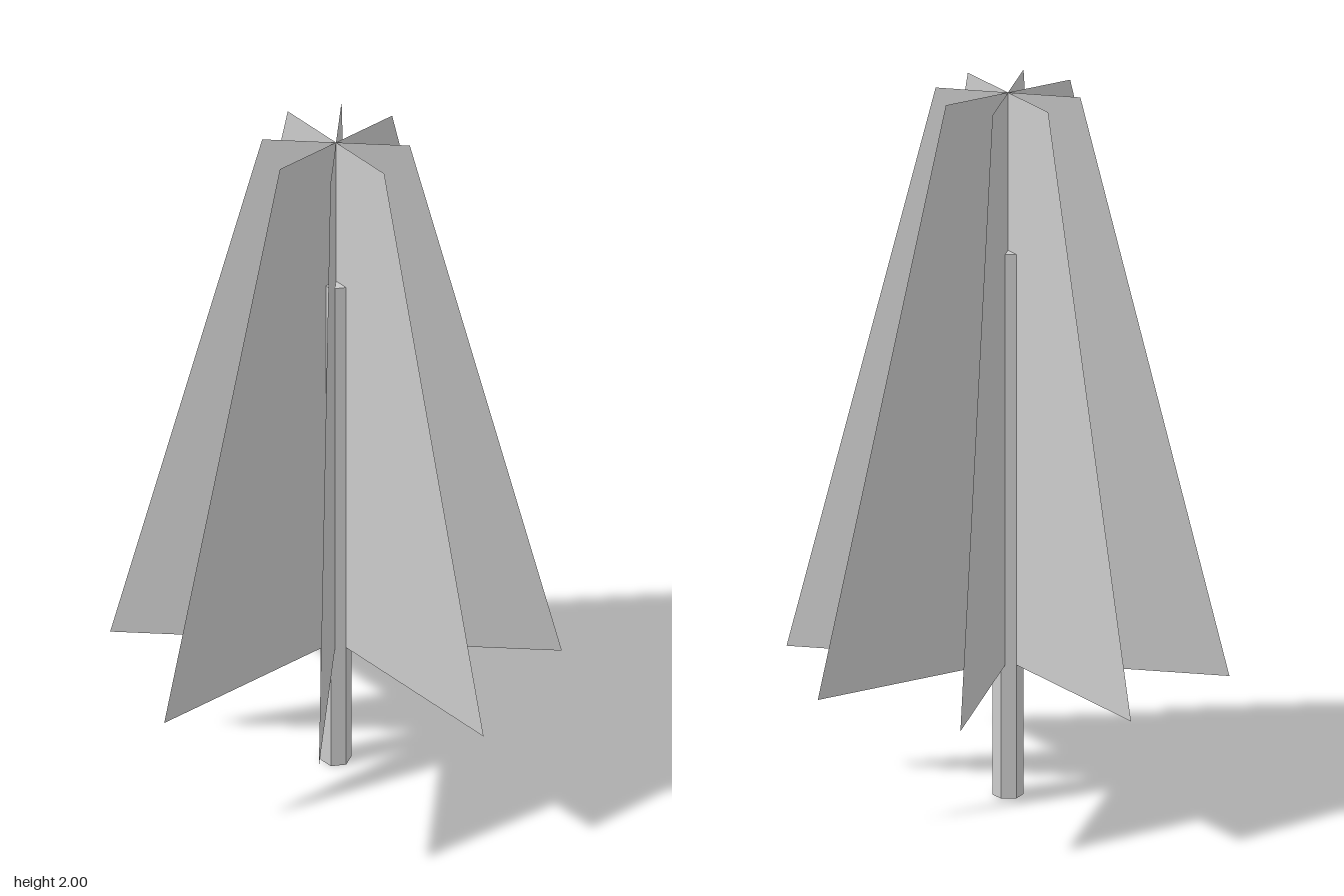
import * as THREE from 'three';

export function createModel() {
  const model = new THREE.Group();
  const solid = new THREE.MeshStandardMaterial({ color: 0xcccccc, flatShading: true });
  const card = new THREE.MeshStandardMaterial({ color: 0xcccccc, flatShading: true, side: THREE.DoubleSide });

  // Six-sided trunk, closed at the top and open underneath
  const profile = [[0.042, 0], [0.042, 1.55], [0, 1.55]].map(([r, y]) => new THREE.Vector2(r, y));
  const trunk = new THREE.Mesh(new THREE.LatheGeometry(profile, 6, Math.PI / 2), solid);
  trunk.name = 'trunk';
  model.add(trunk);

  // Four tapered foliage cards crossing on the trunk axis
  const outline = [[-0.612, 0.38], [0.612, 0.38], [0.2, 2], [-0.2, 2]].map(([x, y]) => new THREE.Vector2(x, y));
  const cardGeometry = new THREE.ShapeGeometry(new THREE.Shape(outline));
  const foliage = new THREE.Group();
  foliage.name = 'foliage';
  for (let i = 0; i < 4; i++) {
    const leafCard = new THREE.Mesh(cardGeometry, card);
    leafCard.name = `foliageCard${i + 1}`;
    leafCard.rotation.y = (i * Math.PI) / 4;
    foliage.add(leafCard);
  }
  model.add(foliage);

  return model;
}
